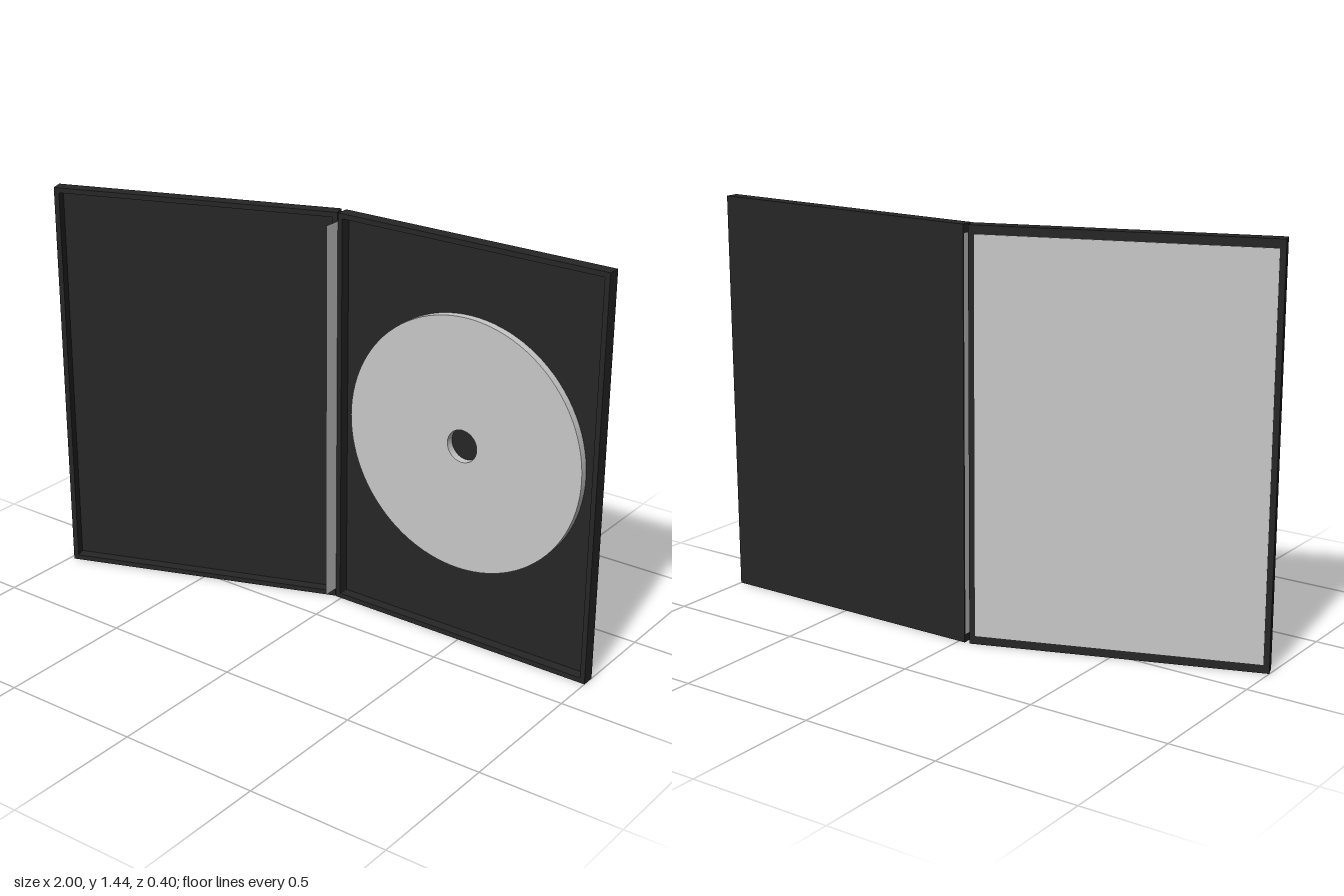
import * as THREE from 'three';

const H = 1.44, T = 0.048, WALL = 0.018, FLOOR = 0.01;

function rectPath(path, x0, y0, x1, y1) {
  path.moveTo(x0, y0);
  path.lineTo(x1, y0);
  path.lineTo(x1, y1);
  path.lineTo(x0, y1);
  path.closePath();
  return path;
}

// Shallow open tray: x from 0 to width, open towards +z, front rim at z = 0
function makeTray(name, width, material) {
  const tray = new THREE.Group();
  tray.name = name;

  const floor = new THREE.Mesh(new THREE.BoxGeometry(width, H, FLOOR), material);
  floor.name = name + 'Floor';
  floor.position.set(width / 2, H / 2, -T + FLOOR / 2);

  const frame = rectPath(new THREE.Shape(), 0, 0, width, H);
  frame.holes.push(rectPath(new THREE.Path(), WALL, WALL, width - WALL, H - WALL));
  const rim = new THREE.Mesh(
    new THREE.ExtrudeGeometry(frame, { depth: T - FLOOR, bevelEnabled: false }), material);
  rim.name = name + 'Rim';
  rim.position.z = -T + FLOOR;

  tray.add(floor, rim);
  return tray;
}

export function createModel() {
  const model = new THREE.Group();
  model.name = 'openDiscCase';

  const plastic = new THREE.MeshStandardMaterial({ color: 0x262626 });
  plastic.name = 'black plastic';
  const grey = new THREE.MeshStandardMaterial({ color: 0xc8c8c8, side: THREE.DoubleSide });
  grey.name = 'light grey';

  // Disc tray, facing the front
  const discTray = makeTray('discTray', 1.023, plastic);
  discTray.position.set(-0.023, 0, -0.15);
  model.add(discTray);

  // Disc with centre hole, resting on the tray floor
  const ring = new THREE.Shape().absarc(0, 0, 0.454, 0, Math.PI * 2, false);
  ring.holes.push(new THREE.Path().absarc(0, 0, 0.058, 0, Math.PI * 2, true));
  const disc = new THREE.Mesh(
    new THREE.ExtrudeGeometry(ring, { depth: 0.028, bevelEnabled: false, curveSegments: 48 }), grey);
  disc.name = 'disc';
  disc.position.set(0.485, 0.724, -0.188);
  model.add(disc);

  // Cover, swung forward about the hinge
  const coverWidth = 1.02;
  const cover = new THREE.Group();
  cover.name = 'cover';
  cover.position.set(-0.026, 0, -0.152);
  cover.rotation.y = THREE.MathUtils.degToRad(20.2);
  const coverTray = makeTray('coverTray', coverWidth, plastic);
  coverTray.position.x = -coverWidth;
  cover.add(coverTray);

  // Paper sheet on the outside of the cover
  const sheet = new THREE.Mesh(new THREE.BoxGeometry(coverWidth - 0.04, 1.38, 0.002), grey);
  sheet.name = 'coverSheet';
  sheet.position.set(-coverWidth / 2, H / 2, -T - 0.001);
  cover.add(sheet);
  model.add(cover);

  // Thin spine sheet standing in the hinge gap
  const spine = new THREE.Mesh(new THREE.PlaneGeometry(0.105, 1.38), grey);
  spine.name = 'spineSheet';
  spine.rotation.y = Math.PI / 2;
  spine.position.set(-0.0245, H / 2, -0.1425);
  model.add(spine);

  return model;
}
